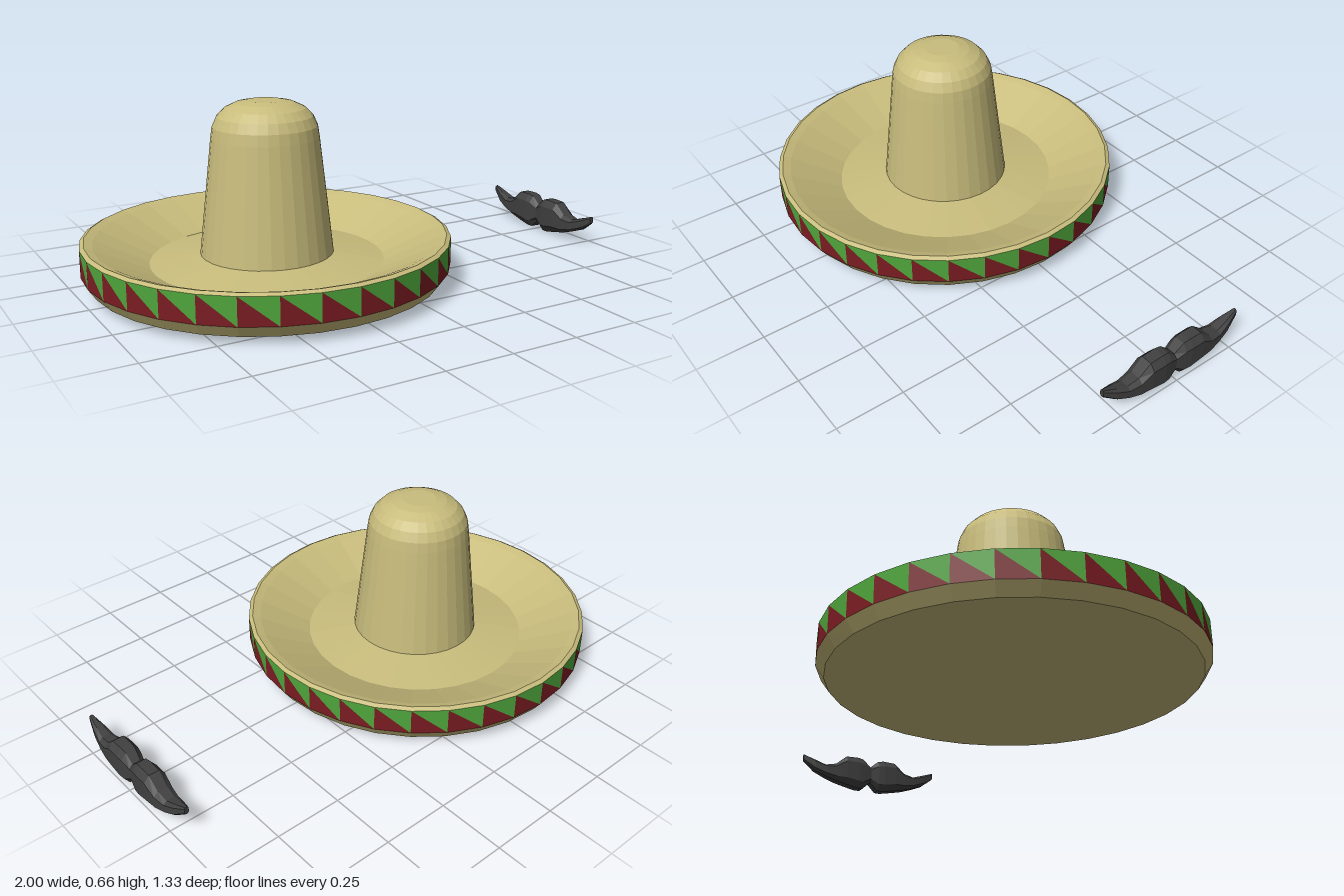
import * as THREE from 'three';

const SIDES = 32;
const BAND = { r: 0.665, y0: 0.073, y1: 0.172 };

const mat = (color) => new THREE.MeshStandardMaterial({ color, flatShading: true });

function named(name, geometry, material) {
  const mesh = new THREE.Mesh(geometry, material);
  mesh.name = name;
  return mesh;
}

function lathe(name, profile, material) {
  const pts = profile.map(([r, y]) => new THREE.Vector2(r, y));
  return named(name, new THREE.LatheGeometry(pts, SIDES), material);
}

// One right triangle per side of the band; upper and lower sets interlock.
function bandTriangles(upper) {
  const pos = [];
  const at = (i, y) => {
    const a = (i / SIDES) * Math.PI * 2;
    return [BAND.r * Math.sin(a), y, BAND.r * Math.cos(a)];
  };
  for (let i = 0; i < SIDES; i++) {
    const topLeft = at(i, BAND.y1), lowRight = at(i + 1, BAND.y0);
    if (upper) pos.push(...topLeft, ...lowRight, ...at(i + 1, BAND.y1));
    else pos.push(...topLeft, ...at(i, BAND.y0), ...lowRight);
  }
  const g = new THREE.BufferGeometry();
  g.setAttribute('position', new THREE.Float32BufferAttribute(pos, 3));
  g.computeVertexNormals();
  return g;
}

// Loft of bevelled eight-sided sections along z, mirrored about the middle.
function moustacheGeometry() {
  // z, top, bottom, half thickness
  const half = [
    [0, 0.105, 0.035, 0.03], [0.035, 0.135, 0.002, 0.037],
    [0.06, 0.139, 0.002, 0.04], [0.114, 0.137, 0.013, 0.04],
    [0.16, 0.098, 0.023, 0.036], [0.206, 0.088, 0.038, 0.03],
    [0.252, 0.104, 0.056, 0.022], [0.303, 0.122, 0.094, 0.008],
  ];
  const stations = [
    ...half.slice(1).reverse().map(([z, ...rest]) => [-z, ...rest]),
    ...half,
  ];
  // counter-clockwise section seen from +z: thickness factor, height factor
  const section = [
    [0.5, 0], [1, 0.2], [1, 0.8], [0.5, 1],
    [-0.5, 1], [-1, 0.8], [-1, 0.2], [-0.5, 0],
  ];
  const n = section.length;
  const pos = [], idx = [];
  stations.forEach(([z, top, bottom, w], s) => {
    section.forEach(([fx, fy], k) => {
      pos.push(fx * w, bottom + fy * (top - bottom), z);
      if (s === 0) return;
      const k2 = (k + 1) % n;
      const a = (s - 1) * n + k, b = (s - 1) * n + k2;
      const c = s * n + k2, d = s * n + k;
      idx.push(a, b, c, a, c, d);
    });
  });
  // tip caps
  const last = (stations.length - 1) * n;
  for (let k = 1; k < n - 1; k++) {
    idx.push(0, k + 1, k, last, last + k, last + k + 1);
  }
  const g = new THREE.BufferGeometry();
  g.setAttribute('position', new THREE.Float32BufferAttribute(pos, 3));
  g.setIndex(idx);
  g.computeVertexNormals();
  return g;
}

export function createModel() {
  const model = new THREE.Group();
  const straw = mat(0xc8bc7c);

  const hat = new THREE.Group();
  hat.name = 'hat';
  hat.position.x = -0.335;
  hat.add(
    // flat underside and its flared edge
    lathe('brimUnderside', [[0, 0.03], [0.635, 0.03], [BAND.r, BAND.y0]], straw),
    // rolled lip, bowl wall and gently raised floor
    lathe('brim', [
      [BAND.r, BAND.y1], [0.65, 0.18], [0.62, 0.17], [0.425, 0.08], [0.242, 0.108],
    ], straw),
    // tapered crown with a rounded top
    lathe('crown', [
      [0.242, 0.108], [0.194, 0.53], [0.188, 0.57], [0.172, 0.605],
      [0.145, 0.633], [0.105, 0.652], [0.065, 0.66], [0, 0.66],
    ], straw),
    named('bandLowerTriangles', bandTriangles(false), mat(0x7a1c22)),
    named('bandUpperTriangles', bandTriangles(true), mat(0x4fa53c)),
  );
  model.add(hat);

  const moustache = named('moustache', moustacheGeometry(), mat(0x404040));
  moustache.position.x = 0.96;
  model.add(moustache);

  return model;
}
